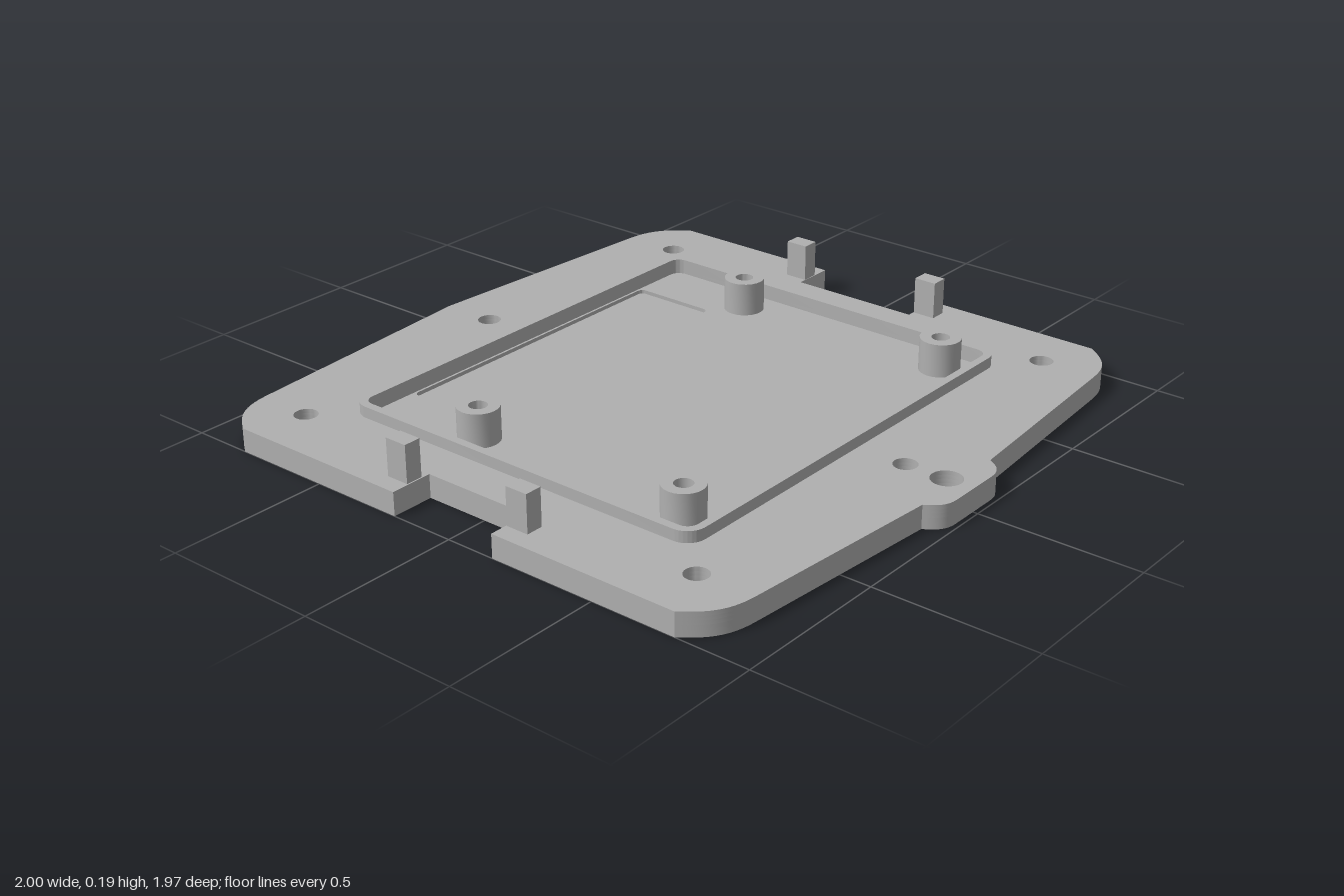
import * as THREE from 'three';
import { toCreasedNormals } from 'three/addons/utils/BufferGeometryUtils.js';

// Heights of the stacked levels
const BORE = 0.035, RECESS = 0.048, FLOOR = 0.06, DECK = 0.073, RIM = 0.108, BOSS = 0.165, POST = 0.19;

export function createModel() {
  const model = new THREE.Group();
  const grey = new THREE.MeshStandardMaterial({ color: 0xb0b0b0 });
  grey.name = 'grey plastic';

  // Extrude a plan shape (drawn with shape y = -z) between two heights
  function slab(name, shape, y0, y1) {
    let geo = new THREE.ExtrudeGeometry(shape, { depth: y1 - y0, bevelEnabled: false, curveSegments: 12 });
    geo.rotateX(-Math.PI / 2);
    geo.translate(0, y0, 0);
    geo = toCreasedNormals(geo, 0.6);
    const mesh = new THREE.Mesh(geo, grey);
    mesh.name = name;
    model.add(mesh);
  }

  function circle(C, x, z, r) {
    const c = new C();
    c.absarc(x, -z, r, 0, Math.PI * 2, false);
    return c;
  }

  function roundRect(C, x0, x1, z0, z1, r) {
    const p = new C(), a = -z1, b = -z0, h = Math.PI / 2;
    p.moveTo(x0 + r, a);
    p.lineTo(x1 - r, a);
    p.absarc(x1 - r, a + r, r, -h, 0, false);
    p.lineTo(x1, b - r);
    p.absarc(x1 - r, b - r, r, 0, h, false);
    p.lineTo(x0 + r, b);
    p.absarc(x0 + r, b - r, r, h, 2 * h, false);
    p.lineTo(x0, a + r);
    p.absarc(x0 + r, a + r, r, 2 * h, 3 * h, false);
    return p;
  }

  // Plate outline with peaked back, front tab and a notch in each side
  function outline() {
    const s = new THREE.Shape();
    s.moveTo(0, 0.985);
    s.lineTo(-0.82, 0.925);
    s.bezierCurveTo(-0.92, 0.915, -0.955, 0.875, -1, 0.81);
    s.lineTo(-1, 0.203);
    s.lineTo(-0.865, 0.203);
    s.lineTo(-0.865, -0.158);
    s.lineTo(-1, -0.158);
    s.lineTo(-1, -0.77);
    s.bezierCurveTo(-0.955, -0.83, -0.92, -0.87, -0.82, -0.878);
    s.lineTo(-0.167, -0.93);
    s.bezierCurveTo(-0.145, -0.968, -0.125, -0.985, -0.085, -0.985);
    s.lineTo(0.085, -0.985);
    s.bezierCurveTo(0.125, -0.985, 0.145, -0.968, 0.167, -0.93);
    s.lineTo(0.82, -0.878);
    s.bezierCurveTo(0.92, -0.87, 0.955, -0.83, 1, -0.77);
    s.lineTo(1, -0.19);
    s.lineTo(0.865, -0.19);
    s.lineTo(0.865, 0.235);
    s.lineTo(1, 0.235);
    s.lineTo(1, 0.81);
    s.bezierCurveTo(0.955, 0.875, 0.92, 0.915, 0.82, 0.925);
    s.closePath();
    return s;
  }

  const screws = [[-0.825, -0.742], [0.825, -0.742], [0, -0.81], [-0.825, 0.697], [0.825, 0.697], [0, 0.763]];
  function plate(name, y0, y1, holeRadius, pocket) {
    const s = outline();
    for (const [x, z] of screws) s.holes.push(circle(THREE.Path, x, z, holeRadius));
    s.holes.push(circle(THREE.Path, 0, 0.897, 0.047));
    if (pocket) s.holes.push(pocket);
    slab(name, s, y0, y1);
  }

  // Base plate in layers: counterbores below, pockets above
  const pocket = () => roundRect(THREE.Path, -0.707, 0.707, -0.627, 0.578, 0.035);
  plate('counterboredBase', 0, BORE, 0.062);
  plate('recessFloor', BORE, RECESS, 0.036);
  plate('pocketFloor', RECESS, FLOOR, 0.036, roundRect(THREE.Path, -0.515, 0.515, -0.62, -0.343, 0.018));
  plate('deck', FLOOR, DECK, 0.036, pocket());

  // Raised rim around the pocket
  const rim = roundRect(THREE.Shape, -0.733, 0.733, -0.652, 0.603, 0.06);
  rim.holes.push(pocket());
  slab('rim', rim, DECK, RIM);

  // Hollow screw bosses
  for (const x of [-0.605, 0.605]) for (const z of [-0.267, 0.475]) {
    const ring = circle(THREE.Shape, x, z, 0.063);
    ring.holes.push(circle(THREE.Path, x, z, 0.028));
    slab('screwBoss', ring, FLOOR, BOSS);
  }

  // Square posts beside the side notches
  for (const [x, z] of [[-0.917, -0.244], [-0.917, 0.197], [0.917, -0.273], [0.917, 0.228]]) {
    const post = new THREE.Mesh(new THREE.BoxGeometry(0.054, POST - DECK, 0.073), grey);
    post.position.set(x, (POST + DECK) / 2, z);
    post.name = 'clipPost';
    model.add(post);
  }
  return model;
}
